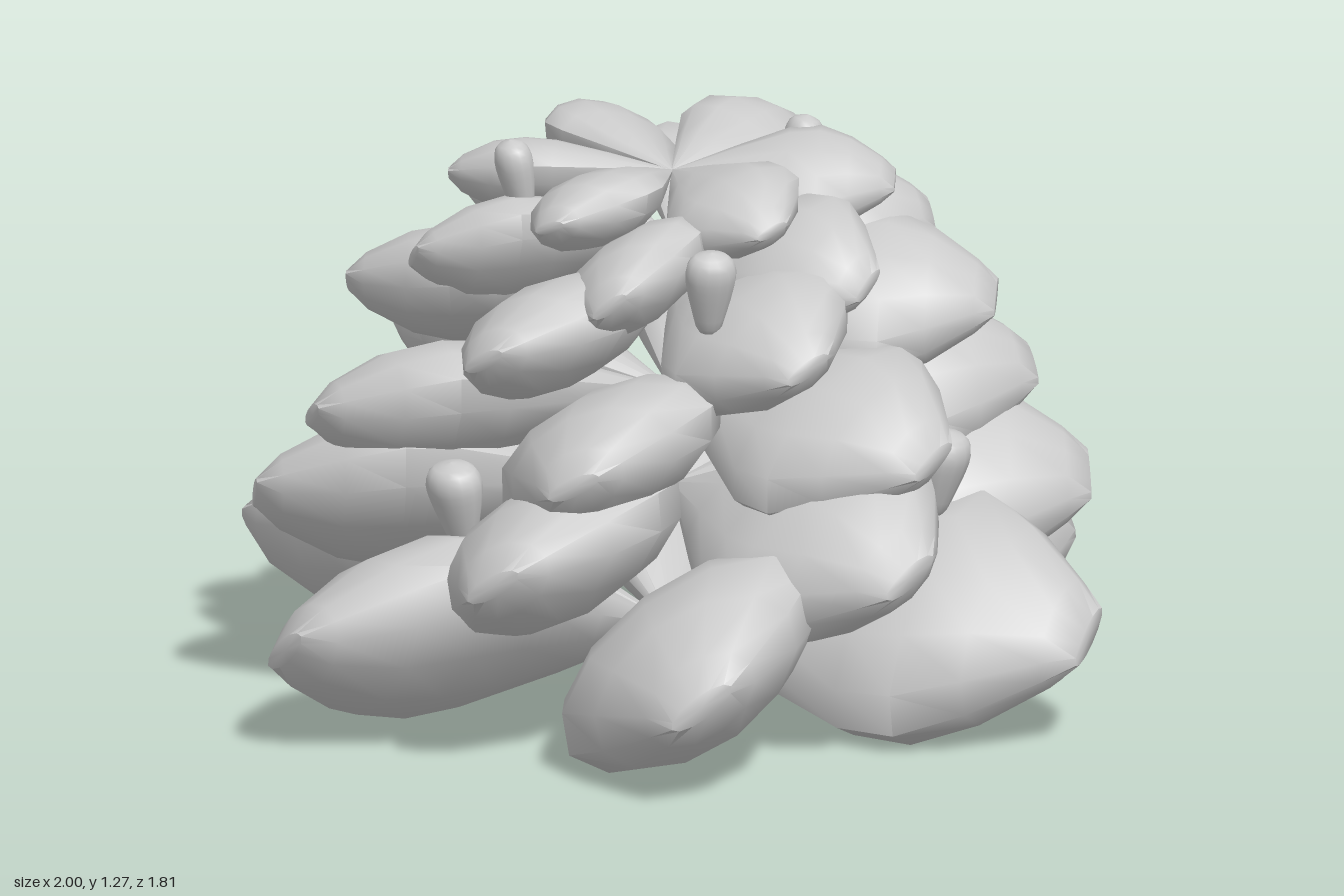
import * as THREE from 'three';
import { toCreasedNormals } from 'three/addons/utils/BufferGeometryUtils.js';

const SIDES = 12;
const deg = THREE.MathUtils.degToRad;

// Stations along a scale: distance from the axis, half width, half thickness, share of the root offset
const STATIONS = [
  [0, 0.004, 0.004, 1], [0.28, 0.175, 0.088, 0.55], [0.52, 0.315, 0.155, 0.1], [0.66, 0.33, 0.168, 0],
  [0.8, 0.25, 0.15, 0], [0.94, 0.135, 0.085, 0], [1.0, 0.08, 0.025, 0],
];

// A plump wedge from the axis, rolled about its length, that closes in a blunt tip
function scaleGeometry(roll, rootOffset) {
  const pos = [], index = [];
  const c = Math.cos(roll), s = Math.sin(roll);
  for (const [r, w, h, share] of STATIONS) {
    for (let j = 0; j < SIDES; j++) {
      const t = (j / SIDES) * Math.PI * 2;
      const u = w * Math.cos(t), v = h * Math.sin(t);
      pos.push(r, v * c - u * s + share * rootOffset, u * c + v * s);
    }
  }
  const last = STATIONS.length - 1;
  for (let i = 0; i < last; i++) {
    for (let j = 0; j < SIDES; j++) {
      const a = i * SIDES + j, b = i * SIDES + ((j + 1) % SIDES);
      index.push(a, a + SIDES, b, b, a + SIDES, b + SIDES);
    }
  }
  pos.push(1, 0, 0);
  const tip = pos.length / 3 - 1;
  for (let j = 0; j < SIDES; j++) index.push(tip, last * SIDES + ((j + 1) % SIDES), last * SIDES + j);
  const geo = new THREE.BufferGeometry();
  geo.setAttribute('position', new THREE.Float32BufferAttribute(pos, 3));
  geo.setIndex(index);
  return toCreasedNormals(geo, 0.85);
}

// A droplet with a round head and a narrow tail
function budGeometry() {
  const profile = [[0, -0.1], [0.025, -0.095], [0.04, -0.05], [0.055, 0.01], [0.058, 0.05], [0.042, 0.08], [0, 0.092]];
  const curve = new THREE.SplineCurve(profile.map(([x, y]) => new THREE.Vector2(x, y)));
  const points = curve.getPoints(14).map((p) => new THREE.Vector2(Math.max(0, p.x), p.y));
  return new THREE.LatheGeometry(points, 14);
}

export function createModel() {
  const model = new THREE.Group();
  model.name = 'cone';
  const material = new THREE.MeshStandardMaterial({ color: 0xcccccc });

  // Tiers of six scales: reach, centre height, first angle, roll, root offset
  const tiers = [
    [1.0, 0.238, 1, 37, -0.1],
    [0.9, 0.455, 30, 33, 0],
    [0.8, 0.665, 20, 28, 0],
    [0.7, 0.89, 40, 30, 0],
    [0.58, 1.01, 18, 38, 0],
    [0.48, 1.14, 38, 22, 0.03],
  ];
  tiers.forEach(([reach, y, start, roll, rootOffset], t) => {
    const scale = scaleGeometry(deg(roll), rootOffset);
    const tier = new THREE.Group();
    tier.name = `scaleTier${t + 1}`;
    tier.position.y = y;
    for (let i = 0; i < 6; i++) {
      const mesh = new THREE.Mesh(scale, material);
      mesh.name = 'scale';
      mesh.rotation.y = -deg(start + i * 60);
      mesh.scale.setScalar(reach);
      tier.add(mesh);
    }
    model.add(tier);
  });

  // Small buds between the scales: x, y, z, width factor
  const buds = [
    [-0.24, 1.175, 0.27, 0.82],
    [0.2, 1.155, -0.22, 0.85],
    [0.29, 1.03, 0.42, 0.95],
    [-0.26, 0.52, 0.53, 1.15],
    [0.62, 0.55, -0.04, 1.15],
    [0.23, 0.68, -0.58, 0.9],
    [-0.4, 0.64, -0.42, 1.0],
  ];
  const bud = budGeometry();
  for (const [x, y, z, w] of buds) {
    const mesh = new THREE.Mesh(bud, material);
    mesh.name = 'bud';
    mesh.position.set(x, y, z);
    mesh.rotation.order = 'YXZ';
    mesh.rotation.set(0, -Math.atan2(z, x), -0.2);
    mesh.scale.set(w * 0.85, 1, w);
    model.add(mesh);
  }
  return model;
}
